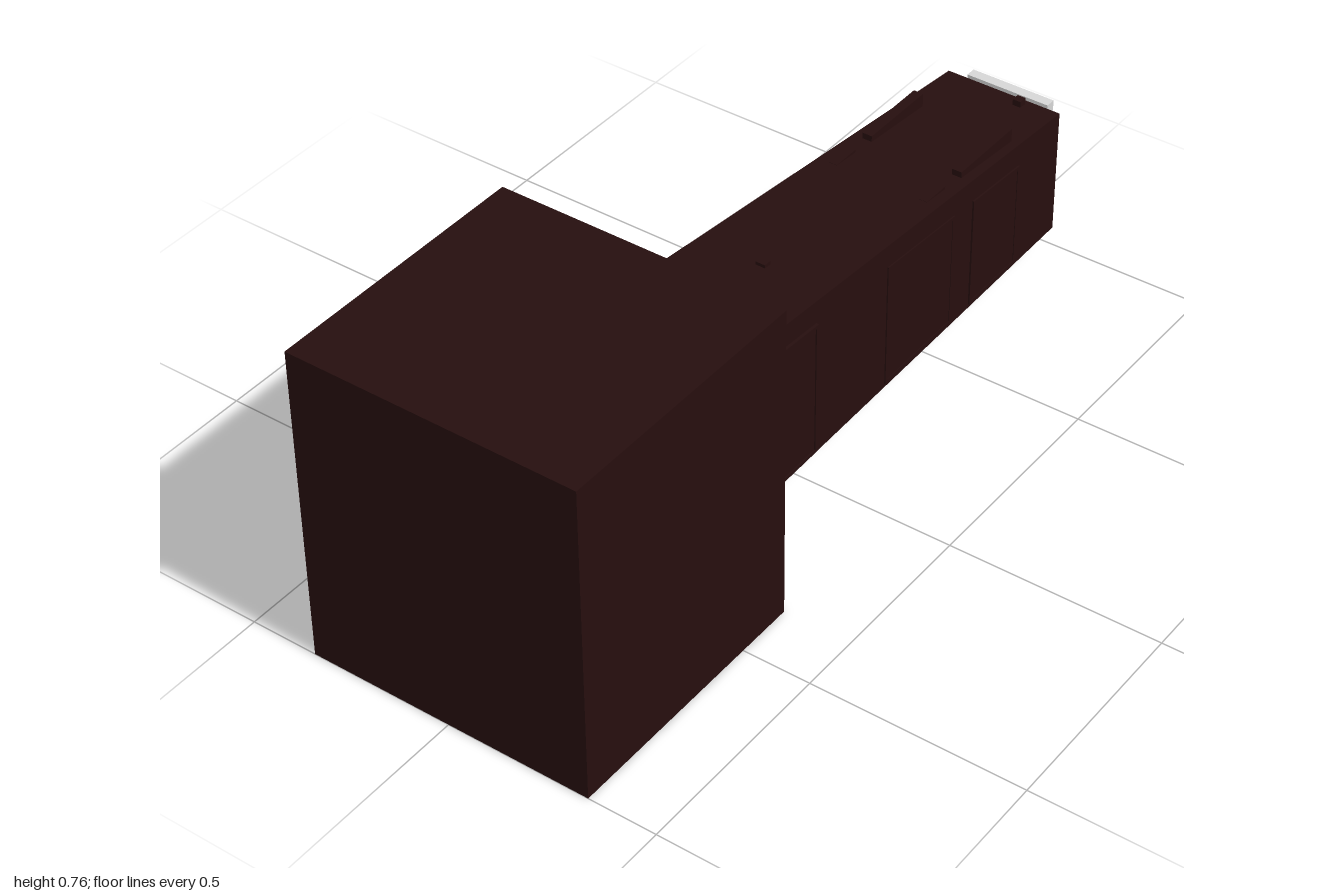
import * as THREE from 'three';

const body = new THREE.MeshStandardMaterial({ color: 0x260e0e });
body.name = 'dark maroon';
const pale = new THREE.MeshStandardMaterial({ color: 0xd6d6d6 });
pale.name = 'pale grey';

// Tapered passage: half width and roof height at a given z
const halfWidth = z => 0.145 + 0.018 * (z + 0.96);
const roof = z => 0.39 + 0.0909 * (z + 0.96);

export function createModel() {
  const model = new THREE.Group();

  function add(name, geometry, material = body) {
    const mesh = new THREE.Mesh(geometry, material);
    mesh.name = name;
    model.add(mesh);
    return mesh;
  }

  function box(name, x0, x1, y0, y1, z0, z1, material = body) {
    const g = new THREE.BoxGeometry(x1 - x0, y1 - y0, z1 - z0);
    g.translate((x0 + x1) / 2, (y0 + y1) / 2, (z0 + z1) / 2);
    return add(name, g, material);
  }

  // Moves every corner of a unit box by a rule of (u, v, w), each 0 to 1
  function shaped(name, rule) {
    const g = new THREE.BoxGeometry(1, 1, 1);
    const p = g.attributes.position;
    for (let i = 0; i < p.count; i++) {
      p.setXYZ(i, ...rule(p.getX(i) + 0.5, p.getY(i) + 0.5, p.getZ(i) + 0.5));
    }
    g.computeVertexNormals();
    return add(name, g);
  }

  // Large chamber: walls extruded from a frame, closed at the front
  const frame = new THREE.Shape([
    [-0.34, 0], [0.34, 0], [0.34, 0.76], [-0.34, 0.76],
  ].map(p => new THREE.Vector2(...p)));
  frame.holes.push(new THREE.Path([
    [-0.305, 0.075], [-0.305, 0.685], [0.305, 0.685], [0.305, 0.075],
  ].map(p => new THREE.Vector2(...p))));
  const walls = new THREE.ExtrudeGeometry(frame, { depth: 0.6, bevelEnabled: false });
  walls.translate(0, 0, 0.36);
  add('chamberWalls', walls);
  box('chamberFront', -0.34, 0.34, 0, 0.76, 0.96, 1);

  // Sloping passage running back out of the chamber
  shaped('passage', (u, v, w) => {
    const z = -0.96 + w * 1.6;
    return [(u * 2 - 1) * halfWidth(z), v ? roof(z) : 0.08, z];
  });

  // Shallow wall panels with raised rims along both sides
  const panels = [
    [0.25, 0.46, 0.014], [0, 0.18, 0.007], [-0.525, -0.265, 0.003], [-0.79, -0.6, 0.004],
  ];
  for (const side of [-1, 1]) {
    for (const [z0, z1, depth] of panels) {
      const slab = (name, a, b, low, high, out) => shaped(name, (u, v, w) => {
        const z = a + w * (b - a);
        const x = halfWidth(z) + (side * (u - 0.5) > 0 ? out : -0.01);
        return [side * x, v ? high(z) : low(z), z];
      });
      const bottom = () => 0.09;
      const top = z => roof(z) - 0.055;
      const rim = 0.008;
      slab('wallPanel', z0, z1, bottom, top, depth * 0.6);
      slab('panelRim', z0, z0 + rim, bottom, top, depth);
      slab('panelRim', z1 - rim, z1, bottom, top, depth);
      slab('panelRim', z0, z1, bottom, () => 0.09 + rim, depth);
      slab('panelRim', z0, z1, z => top(z) - rim, top, depth);
    }
    // Level ridges on the roof
    const x = side * 0.115;
    box('roofRidge', x - 0.012, x + 0.012, 0.40, 0.438, -0.79, -0.59);
    box('roofRidgeLow', x - 0.01, x + 0.01, 0.41, 0.436, -0.53, -0.46);
  }

  // Small studs above and below the passage
  box('roofStud', -0.012, 0.012, 0.46, 0.482, -0.052, -0.032);
  box('roofStud', 0.045, 0.065, 0.38, 0.408, -0.945, -0.925);
  box('floorStud', -0.012, 0.012, 0.073, 0.09, -0.04, -0.02);
  box('floorStud', 0.045, 0.065, 0.074, 0.09, -0.935, -0.915);

  // Pale slab standing just clear of the far end
  box('endSlab', -0.105, 0.105, 0.083, 0.387, -1, -0.975, pale);

  return model;
}
